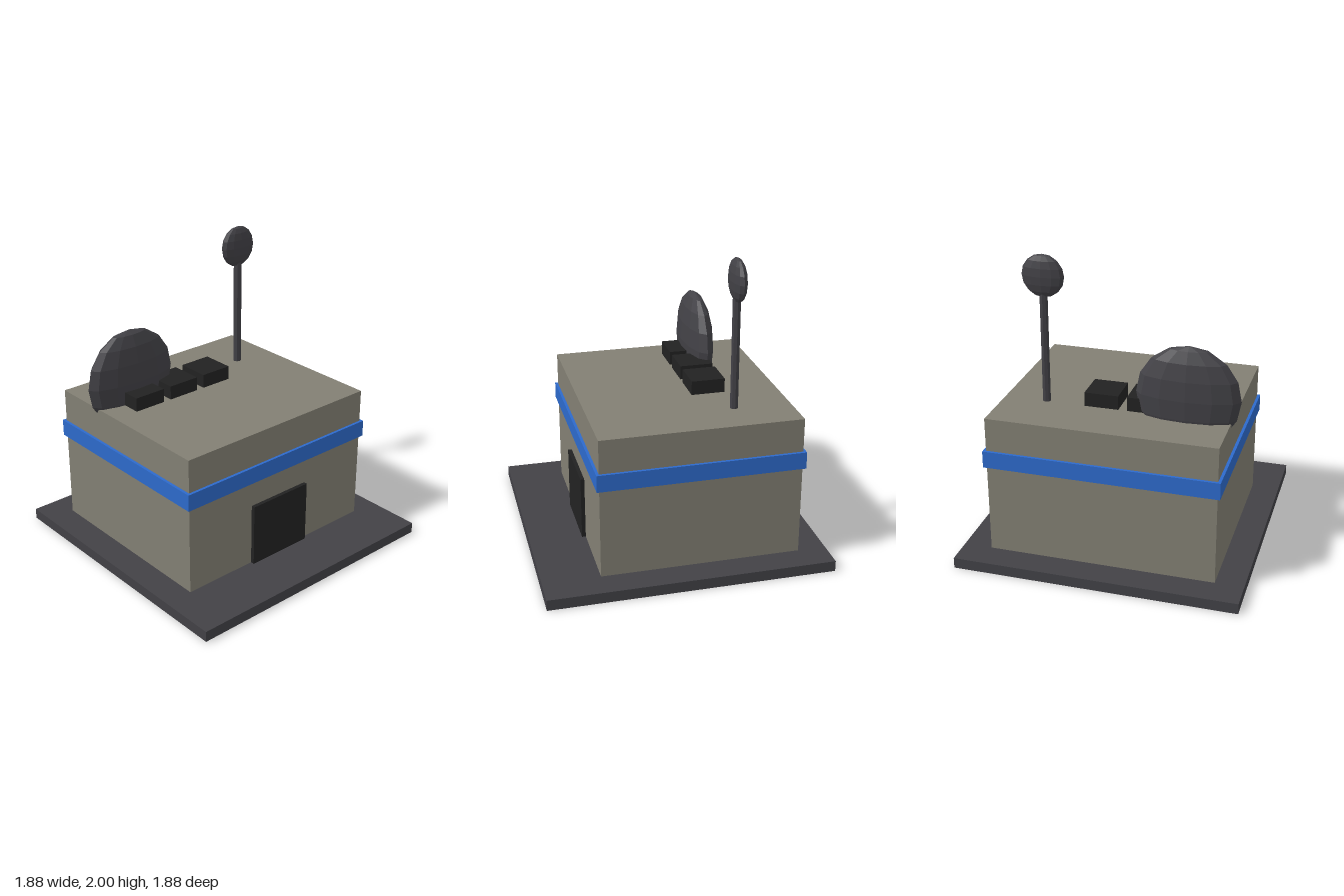
import * as THREE from 'three';

function mat(name, color, flatShading = false) {
  const m = new THREE.MeshStandardMaterial({ color, flatShading });
  m.name = name;
  return m;
}

export function createModel() {
  const model = new THREE.Group();
  model.name = 'outpostBuilding';
  const slate = mat('slateGrey', 0x424146, true);
  const wall = mat('wallGrey', 0x827f73);
  const blue = mat('bandBlue', 0x2d6acb);
  const black = mat('nearBlack', 0x222222);

  const add = (name, geometry, material, x, y, z) => {
    const mesh = new THREE.Mesh(geometry, material);
    mesh.name = name;
    mesh.position.set(x, y, z);
    model.add(mesh);
    return mesh;
  };
  // Box standing on height y
  const box = (name, material, w, h, d, x, y, z) =>
    add(name, new THREE.BoxGeometry(w, h, d), material, x, y + h / 2, z);

  // Ground slab, main block and painted band
  box('baseSlab', slate, 1.878, 0.072, 1.878, 0, 0, 0);
  box('mainBlock', wall, 1.502, 0.941, 1.315, 0, 0.072, -0.094);
  box('wallBand', blue, 1.54, 0.113, 1.352, 0, 0.676, -0.094);

  // Entrance door, slightly proud of the front wall
  box('frontDoor', black, 0.47, 0.428, 0.04, 0, 0.072, 0.569);

  // Row of roof vents
  for (let i = 0; i < 3; i++) {
    box('roofVent' + (i + 1), black, 0.225, 0.094, 0.225, -0.47 + i * 0.282, 1.013, -0.282);
  }

  // Large flattened dish, partly sunk into the roof
  add('largeDish', new THREE.SphereGeometry(0.338, 12, 8), slate, -0.47, 1.156, -0.378).scale.z = 0.295;

  // Mast with a small flattened dish on top
  add('mast', new THREE.CylinderGeometry(0.027, 0.027, 0.8, 8), slate, 0.469, 1.4, -0.376);
  add('smallDish', new THREE.SphereGeometry(0.14, 12, 8), slate, 0.469, 1.86, -0.378).scale.z = 0.34;

  return model;
}
